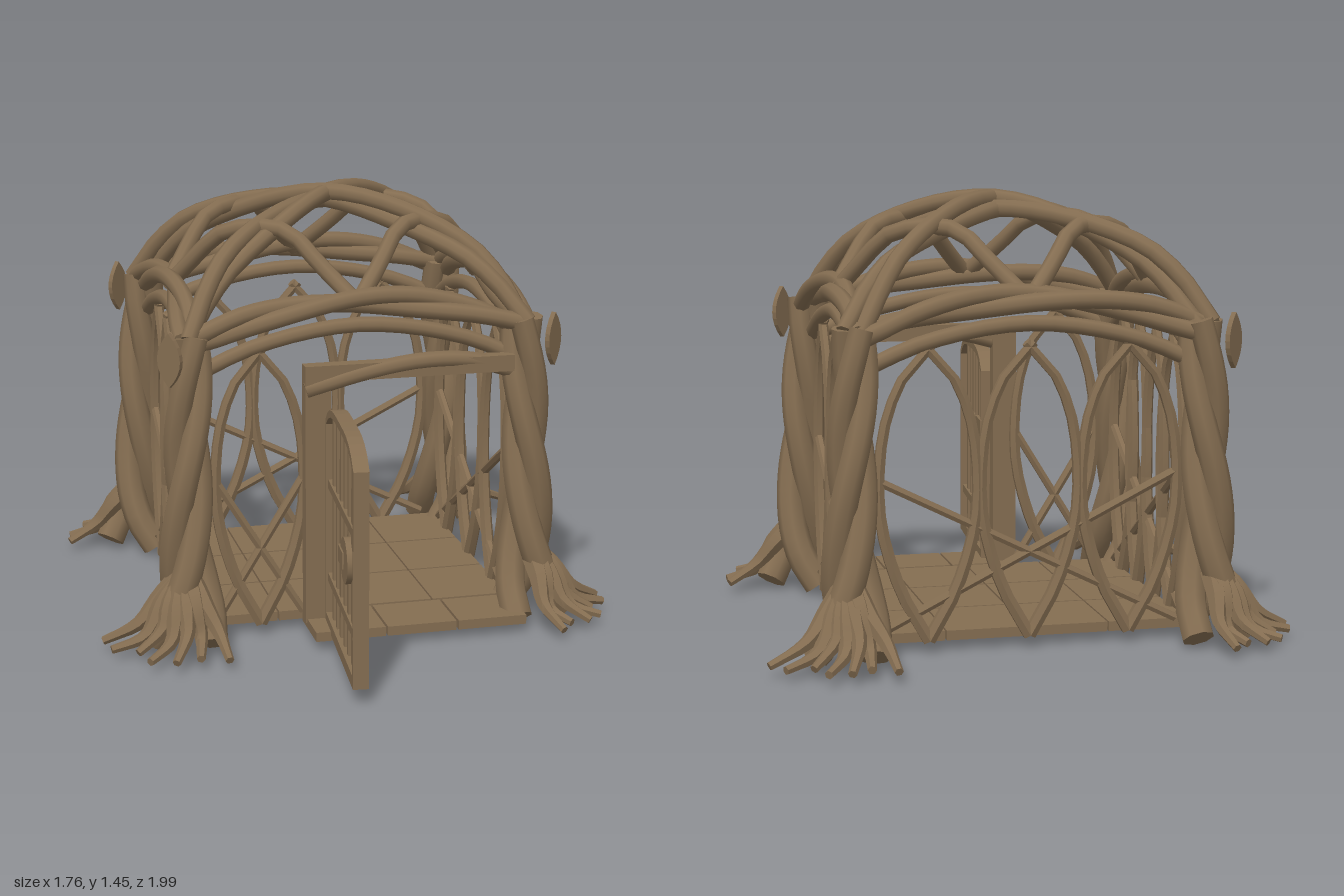
import * as THREE from 'three';
import { toCreasedNormals } from 'three/addons/utils/BufferGeometryUtils.js';

const V = (x, y, z) => new THREE.Vector3(x, y, z);
const CZ = -0.165, HX = 0.575, HZ = 0.51; // hut centre in z, half spans to the posts

export function createModel() {
  const wood = new THREE.MeshStandardMaterial({ color: 0x846d51 });
  wood.name = 'brown wood';
  const model = new THREE.Group();
  model.name = 'wovenBranchHut';

  const group = (name, parent = model) => {
    const g = new THREE.Group();
    g.name = name;
    parent.add(g);
    return g;
  };
  const add = (geo, name, parent) => {
    const m = new THREE.Mesh(geo, wood);
    m.name = name;
    parent.add(m);
    return m;
  };
  const box = (x0, x1, y0, y1, z0, z1, name, parent) => {
    const m = add(new THREE.BoxGeometry(x1 - x0, y1 - y0, z1 - z0), name, parent);
    m.position.set((x0 + x1) / 2, (y0 + y1) / 2, (z0 + z1) / 2);
    return m;
  };

  // Tapered branch along a smooth path, closed with flat ends
  const limb = (pts, r0, r1, name, parent, segs = 16, sides = 8) => {
    const curve = new THREE.CatmullRomCurve3(pts);
    const geo = new THREE.TubeGeometry(curve, segs, 1, sides, false);
    const pos = geo.attributes.position, v = V(0, 0, 0);
    for (let i = 0; i <= segs; i++) {
      const c = curve.getPointAt(i / segs);
      const end = i === 0 || i === segs;
      const at = i === 1 ? curve.getPointAt(0) : i === segs - 1 ? curve.getPointAt(1) : c;
      const r = end ? 0.0001 : r0 + (r1 - r0) * (i / segs);
      for (let j = 0; j <= sides; j++) {
        const k = i * (sides + 1) + j;
        v.fromBufferAttribute(pos, k).sub(c).multiplyScalar(r).add(at);
        pos.setXYZ(k, v.x, v.y, v.z);
      }
    }
    return add(toCreasedNormals(geo, 1), name, parent);
  };

  // Two branches winding around one path
  const twistedPair = (pts, r, orbit, name, parent) => {
    const path = new THREE.CatmullRomCurve3(pts);
    for (const phase of [0, Math.PI]) {
      const strand = [];
      for (let i = 0; i <= 12; i++) {
        const t = i / 12, a = phase + 0.7 + t * Math.PI * 2;
        const tan = path.getTangentAt(t);
        const side = V(-tan.z, 0, tan.x).normalize();
        const up = side.clone().cross(tan);
        strand.push(path.getPointAt(t)
          .addScaledVector(side, orbit * Math.cos(a)).addScaledVector(up, orbit * Math.sin(a)));
      }
      limb(strand, r, r, name, parent, 24);
    }
  };

  // Corner posts: three wound trunks with splayed feet and a fan of roots
  // [x sign, z sign, first and last root angle, longest root]
  const corners = [
    [1, 1, -10, 80, 0.27], [-1, 1, 0, 108, 0.285],
    [-1, -1, -2, 88, 0.265], [1, -1, 28, 108, 0.315],
  ];
  for (const [sx, sz, a0, a1, len] of corners) {
    const post = group('cornerPost');
    const at = (x, y, z) => V(sx * x, y, CZ + sz * z);
    for (let s = 0; s < 3; s++) {
      const pts = [];
      for (let i = 0; i <= 12; i++) {
        const t = i / 12;
        const a = s * 2.12 + 0.05 + t * 6;
        const orbit = 0.037 + 0.075 * Math.pow(1 - t, 7);
        const lean = 0.59 - 0.03 * t * t;
        pts.push(at(lean + orbit * Math.cos(a), 0.03 + 1.02 * t, 0.525 - 0.03 * t + orbit * Math.sin(a)));
      }
      limb(pts, 0.054, 0.04, 'trunk', post, 24);
    }
    for (let i = 0; i < 7; i++) {
      const a = THREE.MathUtils.degToRad(a0 + (a1 - a0) * i / 6);
      const l = len * (i % 6 === 0 ? 1 : 0.92 + 0.1 * Math.sin(i * 2.3));
      const p = (d, y, bend) => at(0.59 + d * Math.cos(a + bend), y, 0.525 + d * Math.sin(a + bend));
      limb([p(0.03, 0.23, 0), p(0.1, 0.165, 0.08), p(l * 0.6, 0.095 - 0.025 * (i % 2), 0.13), p(l, 0.037, 0)],
        0.043, 0.011, 'root', post, 10, 6);
    }
  }

  // Pointed leaf plates on the outside of three posts
  const leafShape = new THREE.Shape();
  leafShape.moveTo(0, -0.09);
  leafShape.quadraticCurveTo(0.09, 0, 0, 0.09);
  leafShape.quadraticCurveTo(-0.09, 0, 0, -0.09);
  const leafGeo = new THREE.ExtrudeGeometry(leafShape, { depth: 0.016, bevelEnabled: false, curveSegments: 8 });
  for (const [sx, sz] of [[1, 1], [-1, 1], [-1, -1]]) {
    const leaf = add(leafGeo, 'leafPlate', model);
    leaf.position.set(sx * 0.638, 0.99, CZ + sz * 0.573);
    leaf.rotation.y = Math.atan2(sx, sz);
  }

  // Arches over the four sides
  const arches = group('sideArches');
  for (let k = 0; k < 4; k++) {
    const alongX = k < 2, s = k % 2 ? -1 : 1;
    const p = (u, y, inset) => alongX
      ? V(u * HX, y, CZ + s * (HZ - inset)) : V(s * (HX - inset), y, CZ + u * HZ);
    const arch = (ends, top, inset, bow) => [-1, -0.6, 0, 0.6, 1]
      .map(u => p(u, top - (top - ends) * u * u, inset + bow * (1 - u * u)));
    limb(arch(0.9, 1.05, 0.02, 0.01), 0.026, 0.026, 'lowerArch', arches);
    twistedPair(arch(1.02, 1.13, 0, 0.03), 0.03, 0.022, 'upperArch', arches);
  }

  // Domed roof: wound diagonals and a ring joining the middles of the sides
  const roof = group('roof');
  for (const s of [1, -1]) {
    twistedPair([[-1, 1.03], [-0.78, 1.22], [-0.45, 1.335], [0, 1.4], [0.45, 1.335], [0.78, 1.22], [1, 1.03]]
      .map(([u, y]) => V(u * HX, y, CZ + s * u * HZ)), 0.03, 0.025, 'diagonalRib', roof);
  }
  for (const [sx, sz] of corners) {
    limb([[0.55, 1.11, 0], [0.47, 1.22, 0.08], [0.38, 1.32, 0.16], [0.2, 1.335, 0.28], [0.1, 1.23, 0.38], [0, 1.12, 0.48]]
      .map(([x, y, z]) => V(sx * x, y, CZ + sz * z)), 0.028, 0.028, 'crossRib', roof, 12);
  }

  // Woven wall panels; at(u, y) places a point on the wall
  const almond = (at, c, hw, parent) => {
    for (const s of [1, -1]) {
      limb([[0, 0.04], [0.55, 0.2], [0.93, 0.4], [1, 0.55], [0.85, 0.75], [0.45, 0.9], [-0.08, 0.99]]
        .map(([w, y]) => at(c + s * hw * w, y)), 0.023, 0.016, 'bentRod', parent, 14, 6);
    }
  };
  const braces = (at, u0, u1, top, parent) => {
    limb([at(u0, top), at(u1, 0.07)], 0.015, 0.015, 'brace', parent, 4, 6);
    limb([at(u1, top), at(u0, 0.07)], 0.015, 0.015, 'brace', parent, 4, 6);
  };
  const back = group('backWall');
  const atBack = (u, y) => V(u, y, -0.645);
  for (const c of [-0.33, 0, 0.33]) almond(atBack, c, 0.16, back);
  braces(atBack, -0.49, 0.49, 0.56, back);

  // [x sign, name, [almond centre, half width]...]
  const sideWalls = [
    [1, 'leftWall', [[0.125, 0.125], [-0.16, 0.14], [-0.445, 0.125]]],
    [-1, 'rightWall', [[0.125, 0.125], [-0.06, 0.1], [-0.255, 0.1], [-0.445, 0.125]]],
  ];
  for (const [s, name, almonds] of sideWalls) {
    const wall = group(name);
    const at = (u, y) => V(s * 0.54, y, u);
    for (const [c, hw] of almonds) almond(at, c, hw, wall);
    braces(at, 0.24, -0.56, 0.56, wall);
  }
  const front = group('frontPanel');
  const atFront = (u, y) => V(u, y, 0.32);
  almond(atFront, -0.335, 0.15, front);
  braces(atFront, -0.48, -0.19, 0.54, front);

  // Floor tiles and front step
  const floor = group('floor');
  for (let i = 0; i < 4; i++) for (let j = 0; j < 3; j++) {
    const x = -0.54 + i * 0.27, z = -0.63 + j * 0.31;
    box(x + 0.003, x + 0.267, 0.03, 0.062, z + 0.005, z + 0.305, 'floorTile', floor);
  }
  for (let i = 0; i < 3; i++) {
    const x = -0.19 + i * 0.245;
    box(x, x + 0.237, 0.03, 0.062, 0.31, 0.52, 'stepTile', floor);
  }

  // Door frame
  const frame = group('doorFrame');
  box(-0.195, -0.11, 0.05, 0.93, 0.34, 0.39, 'doorPost', frame);
  box(-0.195, 0.52, 0.88, 0.935, 0.34, 0.39, 'lintel', frame);
  limb([V(-0.19, 0.85, 0.37), V(0, 0.9, 0.375), V(0.2, 0.93, 0.375), V(0.38, 0.92, 0.365), V(0.54, 0.87, 0.35)],
    0.028, 0.028, 'doorArch', frame);

  // Open barred door, swung out about its hinge
  const door = group('door');
  door.position.set(-0.105, 0, 0.398);
  door.rotation.y = -(Math.PI / 2 + 0.09);
  const W = 0.6, topAt = u => 0.83 - 0.075 * Math.pow(Math.abs(2 * u / W - 1), 4);
  const rim = new THREE.Shape();
  rim.moveTo(0, 0.05);
  rim.lineTo(W, 0.05);
  for (let i = 0; i <= 12; i++) rim.lineTo(W * (1 - i / 12), topAt(W * (1 - i / 12)));
  const hole = new THREE.Path();
  hole.moveTo(0.016, 0.09);
  for (let i = 0; i <= 12; i++) {
    const u = 0.016 + (W - 0.032) * i / 12;
    hole.lineTo(u, topAt(u) - 0.025);
  }
  hole.lineTo(W - 0.016, 0.09);
  rim.holes.push(hole);
  add(new THREE.ExtrudeGeometry(rim, { depth: 0.05, bevelEnabled: false }).translate(0, 0, -0.025), 'doorRim', door);
  for (let i = 1; i <= 6; i++) {
    const u = i * 0.08 + 0.006;
    box(u - 0.012, u + 0.012, 0.07, topAt(u) - 0.015, -0.012, 0.012, 'doorBar', door);
  }
  for (const y of [0.2, 0.525]) {
    box(0.01, W - 0.01, y, y + 0.03, -0.018, 0.018, 'doorRail', door);
    box(-0.01, 0.12, y - 0.015, y + 0.05, -0.03, -0.018, 'hinge', door);
  }
  const plate = add(new THREE.CylinderGeometry(0.075, 0.075, 0.03, 14).rotateX(Math.PI / 2), 'lockPlate', door);
  plate.position.set(0.44, 0.42, 0.015);
  box(0.35, 0.44, 0.39, 0.445, 0.005, 0.035, 'latch', door);

  return model;
}
